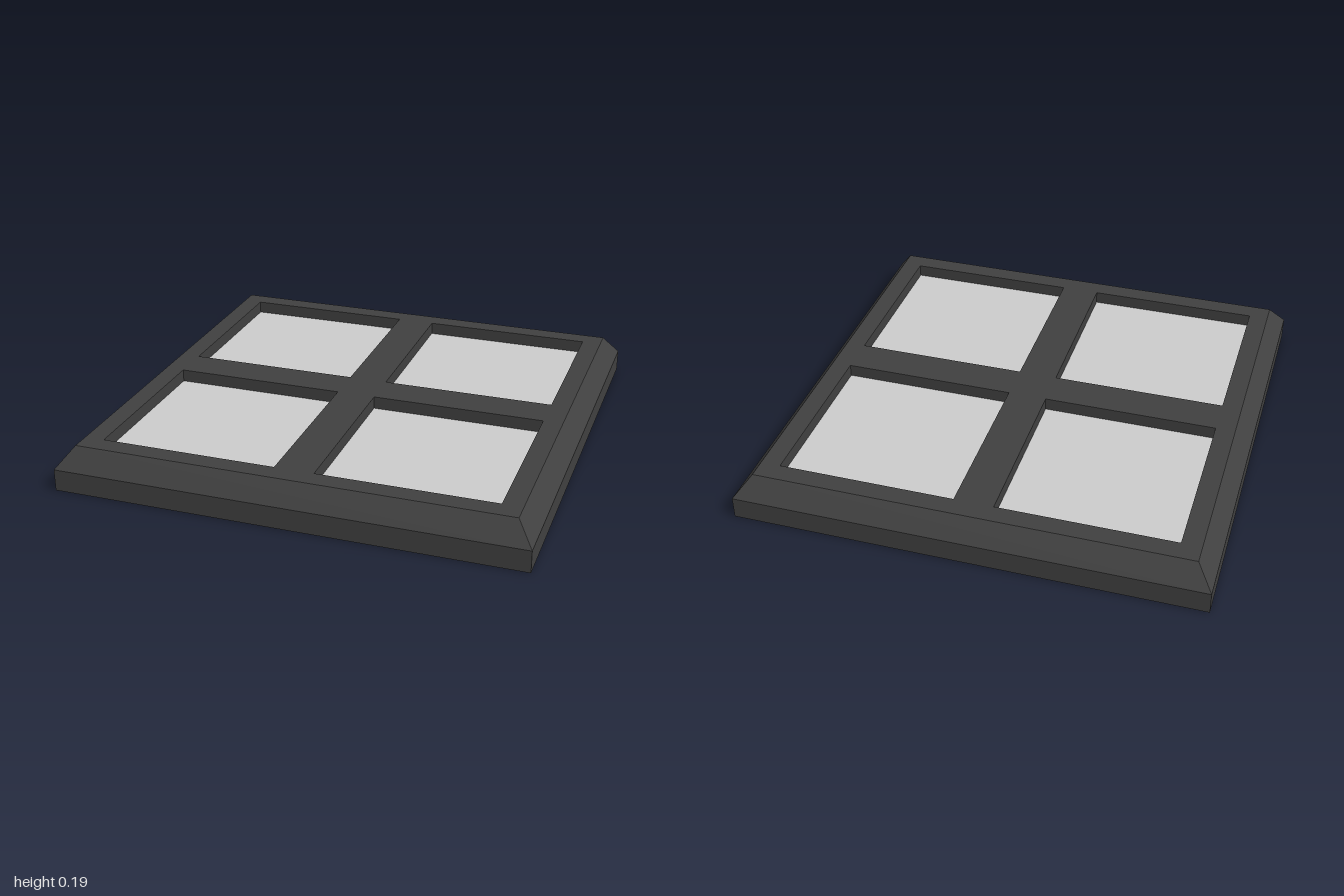
import * as THREE from 'three';

const HEIGHT = 0.185, BAND = 0.095, PANE_Y = 0.13;
const TOP_HALF = 0.93, PANE = 0.76, PANE_OFFSET = 0.465;

function squarePoints(cx, cy, half) {
  return [[-1, -1], [1, -1], [1, 1], [-1, 1]]
    .map(([x, y]) => new THREE.Vector2(cx + x * half, cy + y * half));
}

export function createModel() {
  const group = new THREE.Group();
  const dark = new THREE.MeshStandardMaterial({ color: 0x404040, flatShading: true });
  const grey = new THREE.MeshStandardMaterial({ color: 0xcccccc, flatShading: true });
  const centres = [-1, 1].flatMap(x => [-1, 1].map(z => [x * PANE_OFFSET, z * PANE_OFFSET]));

  const add = (name, geometry, material, x, y, z) => {
    const mesh = new THREE.Mesh(geometry, material);
    mesh.name = name;
    mesh.position.set(x, y, z);
    group.add(mesh);
  };

  // Solid lower slab with straight sides
  add('base', new THREE.BoxGeometry(2, BAND, 2), dark, 0, BAND / 2, 0);

  // Upper frame with four square openings
  const shape = new THREE.Shape(squarePoints(0, 0, 1));
  for (const [x, z] of centres) {
    shape.holes.push(new THREE.Path(squarePoints(x, z, PANE / 2).reverse()));
  }
  const frame = new THREE.ExtrudeGeometry(shape, { depth: HEIGHT - BAND, bevelEnabled: false });
  frame.rotateX(-Math.PI / 2);

  // Pull the outer top corners inward to slope the rim
  const pos = frame.attributes.position;
  for (let i = 0; i < pos.count; i++) {
    if (pos.getY(i) > 0.01 && Math.abs(pos.getX(i)) > 0.99) {
      pos.setX(i, pos.getX(i) * TOP_HALF);
      pos.setZ(i, pos.getZ(i) * TOP_HALF);
    }
  }
  frame.computeVertexNormals();
  add('frame', frame, dark, 0, BAND, 0);

  // Recessed panes
  const pane = new THREE.BoxGeometry(PANE, PANE_Y - BAND, PANE);
  for (const [x, z] of centres) add('pane', pane, grey, x, (PANE_Y + BAND) / 2, z);

  return group;
}
